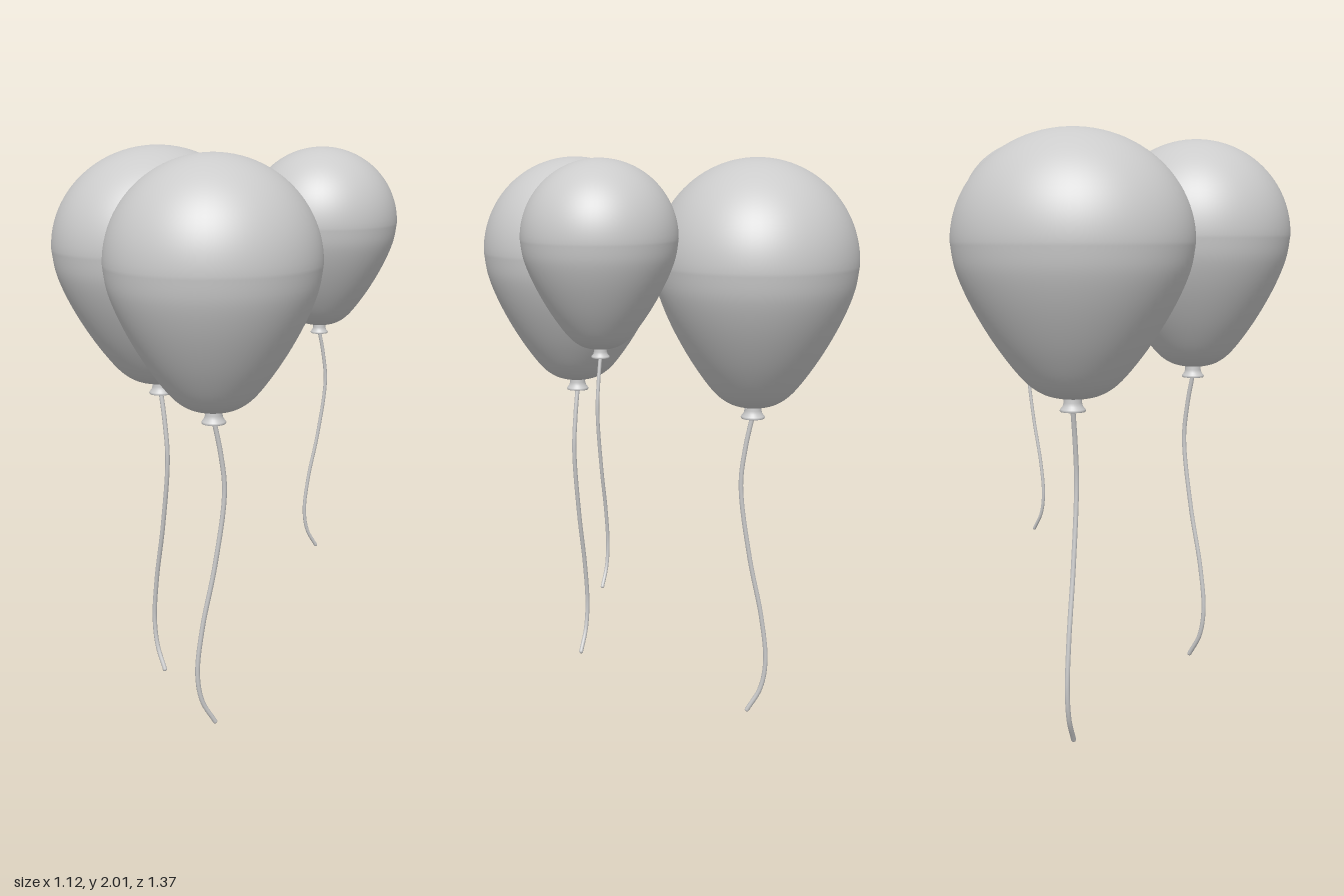
import * as THREE from 'three';

const material = new THREE.MeshStandardMaterial({ color: 0xcccccc });
const v2 = (p) => new THREE.Vector2(p[0], p[1]);

// Teardrop outline of unit height and unit radius: tapered lower part, elliptical crown
function balloonGeometry() {
  const widest = 0.585;
  const lower = new THREE.SplineCurve([
    [0, 0], [0.13, 0.002], [0.27, 0.022], [0.41, 0.07], [0.59, 0.17], [0.75, 0.28],
    [0.88, 0.39], [0.965, 0.49], [1, widest],
  ].map(v2)).getPoints(40);
  const crown = [];
  for (let i = 1; i <= 24; i++) {
    const a = (i / 24) * Math.PI / 2;
    crown.push(new THREE.Vector2(i === 24 ? 0 : Math.cos(a), widest + (1 - widest) * Math.sin(a)));
  }
  return new THREE.LatheGeometry([...lower, ...crown], 72);
}

// Flared neck with a flat rim; the origin is at its lower end
function knotGeometry() {
  const flare = [
    [0, 0], [0.038, 0], [0.038, 0], [0.04, 0.004], [0.038, 0.008],
    [0.031, 0.017], [0.028, 0.028], [0.028, 0.05],
  ].map(v2);
  return new THREE.LatheGeometry(flare, 32);
}

// S-shaped string hanging in the local xy plane
const stringPath = new THREE.CatmullRomCurve3([
  [0, 0.01], [0.022, -0.1], [0.035, -0.23], [0.002, -0.48], [-0.043, -0.7],
  [-0.06, -0.86], [-0.044, -0.96], [0, -1.04],
].map(([x, y]) => new THREE.Vector3(x, y, 0)));
const stringRadius = 0.008;

function part(name, geometry, parent) {
  const mesh = new THREE.Mesh(geometry, material);
  mesh.name = name;
  parent.add(mesh);
  return mesh;
}

export function createModel() {
  const model = new THREE.Group();
  model.name = 'balloonBunch';

  const skin = balloonGeometry();
  const knot = knotGeometry();
  const string = new THREE.TubeGeometry(stringPath, 80, stringRadius, 10);
  const tip = new THREE.SphereGeometry(stringRadius, 10, 8);

  const top = 2, height = 0.8, neck = 0.04;
  const balloons = [
    { name: 'frontBalloon', x: -0.177, z: 0.355, size: 1, rx: 0.341, rz: 0.327, turn: 0 },
    { name: 'backBalloon', x: -0.177, z: -0.33, size: 1.062, rx: 0.33, rz: 0.367, turn: -69 },
    { name: 'smallBalloon', x: 0.303, z: 0.029, size: 0.75, rx: 0.342, rz: 0.333, turn: 0 },
  ];

  for (const b of balloons) {
    const group = new THREE.Group();
    group.name = b.name;
    const body = part('balloonSkin', skin, group);
    body.scale.set(b.rx, height, b.rz);
    body.position.y = neck;
    part('knot', knot, group);
    part('string', string, group);
    part('stringTip', tip, group).position.copy(stringPath.getPoint(1));

    group.scale.setScalar(b.size);
    group.rotation.y = THREE.MathUtils.degToRad(b.turn);
    group.position.set(b.x, top - b.size * (height + neck), b.z);
    model.add(group);
  }
  return model;
}
